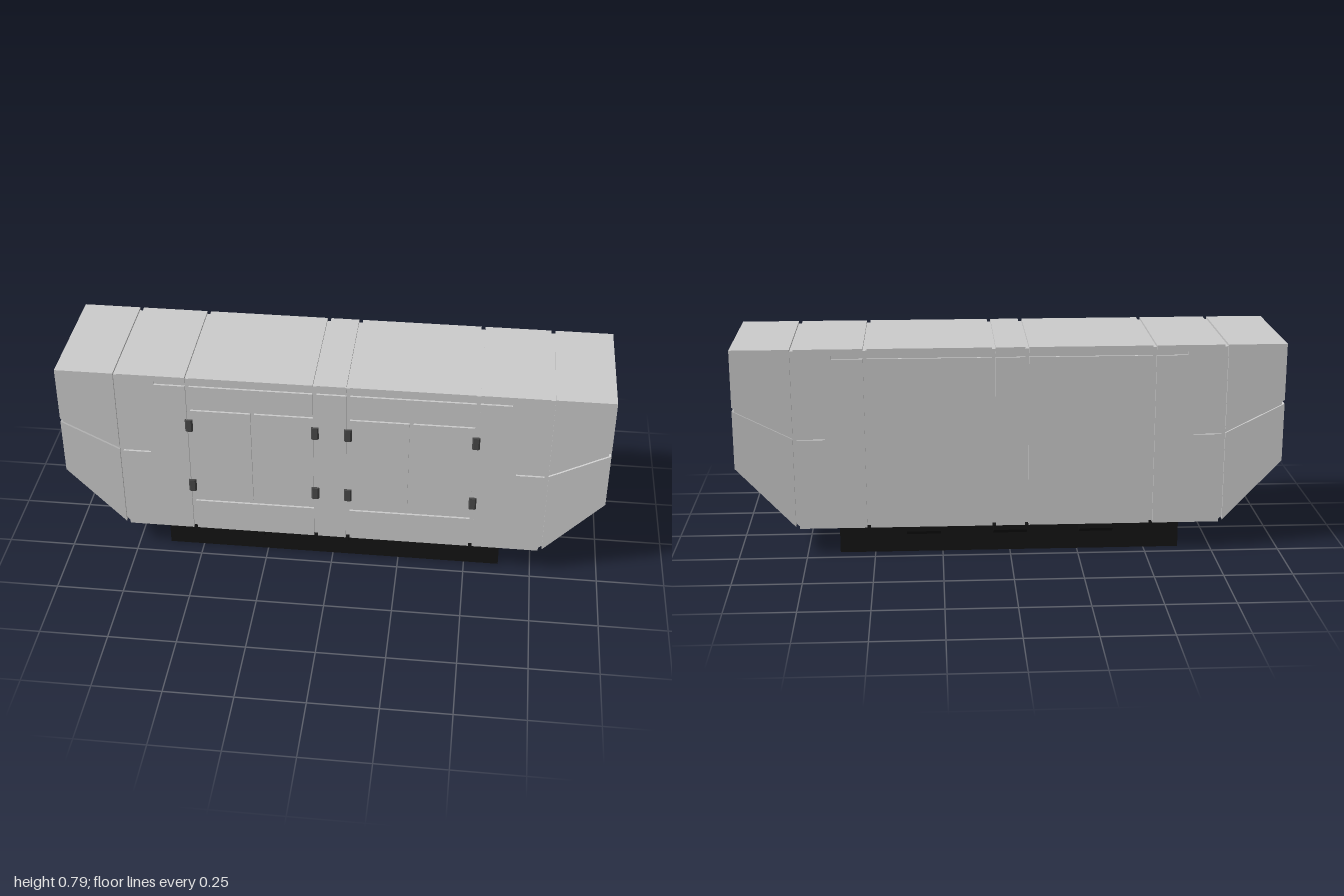
import * as THREE from 'three';

const FRONT = 0.23, BACK = -0.24, TOP = 0.785, BOTTOM = 0.11;
const G = 0.007; // half groove width
const D = 0.008; // groove depth

const grey = new THREE.MeshStandardMaterial({ color: 0xcccccc });
const black = new THREE.MeshStandardMaterial({ color: 0x141414 });
const dark = new THREE.MeshStandardMaterial({ color: 0x484848 });

const shapeOf = (pts) => new THREE.Shape(pts.map(([x, y]) => new THREE.Vector2(x, y)));

function prism(name, pts, z0, z1, material = grey) {
  const geo = new THREE.ExtrudeGeometry(shapeOf(pts), { depth: z1 - z0, bevelEnabled: false });
  geo.translate(0, 0, z0);
  const mesh = new THREE.Mesh(geo, material);
  mesh.name = name;
  return mesh;
}

const rect = (x0, x1, y0, y1) => [[x0, y0], [x1, y0], [x1, y1], [x0, y1]];
const mirrorX = (pts, s) => pts.map(([x, y]) => [x * s, y]);

export function createModel() {
  const model = new THREE.Group();
  model.name = 'enclosure';

  // Core: shows as the floor of every groove between the panels
  const core = [[0.992, TOP - D], [0.992, 0.349], [0.776, BOTTOM + D]];
  model.add(prism('core', [...core, ...mirrorX(core, -1).reverse()], BACK + D, FRONT - D));

  const seam = 0.456, strip = 0.755;
  const doorTop = 0.652, doorBottom = 0.245, doorMid = 0.2875;
  const halves = [['front', 0, FRONT], ['back', BACK, 0]];

  for (const s of [1, -1]) {
    // End caps, split by the sloping groove
    model.add(prism('upperEnd', mirrorX(
      [[0.78 + G, seam + G + 0.004], [1, 0.575], [1, TOP], [0.78 + G, TOP]], s), BACK, FRONT));
    model.add(prism('lowerEnd', mirrorX(
      [[0.78 + G, 0.1175], [1, 0.345], [1, 0.561], [0.78 + G, seam - G + 0.004]], s), BACK, FRONT));

    for (const [side, z0, z1] of halves) {
      // Corner panels with the two groove stubs
      const a = 0.52 + G, b = 0.78 - G;
      model.add(prism(side + 'CornerPanel', mirrorX([
        [a, BOTTOM], [b, BOTTOM],
        [b, seam - G], [0.67, seam - G], [0.67, seam + G], [b, seam + G],
        [b, TOP], [a, TOP],
        [a, strip + G], [0.64, strip + G], [0.64, strip - G], [a, strip - G],
      ], s), z0, z1));

      // Door bays: the front is divided into door panels, the back is plain
      const c = 0.06 + G, d = 0.52 - G;
      const bay = [rect(c, d, strip + G, TOP)];
      if (side === 'front') {
        bay.push(
          rect(c, d, doorTop + G, strip - G),
          rect(c, doorMid - G, doorBottom + G, doorTop - G),
          rect(doorMid + G, d, doorBottom + G, doorTop - G),
          rect(c, d, BOTTOM, doorBottom - G));
      } else {
        bay.push(rect(c, d, BOTTOM, strip - G));
      }
      for (const pts of bay) model.add(prism(side + 'DoorPanel', mirrorX(pts, s), z0, z1));
    }
  }

  // Narrow centre panels
  for (const [side, z0, z1] of halves) {
    model.add(prism(side + 'CentreUpper', rect(-0.06 + G, 0.06 - G, strip + G, TOP), z0, z1));
    model.add(prism(side + 'CentreLower', rect(-0.06 + G, 0.06 - G, BOTTOM, strip - G), z0, z1));
  }

  // Hinges on the front door edges, tapering outward
  const hingeShape = shapeOf([[-0.014, 0], [0.014, 0], [0.014, 0.005], [0.009, 0.01], [-0.009, 0.01], [-0.014, 0.005]]);
  const hingeGeo = new THREE.ExtrudeGeometry(hingeShape, { depth: 0.048, bevelEnabled: false });
  hingeGeo.translate(0, 0, -0.024);
  hingeGeo.rotateX(Math.PI / 2);
  hingeGeo.rotateY(Math.PI);
  // the taper now points along -y before the final turn, so set it facing the front
  hingeGeo.computeBoundingBox();
  if (hingeGeo.boundingBox.max.z < 0.005) hingeGeo.rotateY(Math.PI);
  for (const x of [-0.52, -0.06, 0.06, 0.52]) {
    for (const y of [0.314, 0.583]) {
      const hinge = new THREE.Mesh(hingeGeo, dark);
      hinge.name = 'hinge';
      hinge.position.set(x, y, FRONT);
      model.add(hinge);
    }
  }

  // Base: thin open frame under the body
  const base = new THREE.Group();
  base.name = 'base';
  const X = 0.63, Z = 0.195, T = 0.01;
  const frameShape = shapeOf(rect(-X, X, -Z, Z));
  frameShape.holes.push(shapeOf(rect(-X + T, X - T, -Z + T, Z - T)));
  const frameGeo = new THREE.ExtrudeGeometry(frameShape, { depth: BOTTOM, bevelEnabled: false });
  frameGeo.rotateX(-Math.PI / 2);
  const frame = new THREE.Mesh(frameGeo, black);
  frame.name = 'baseFrame';
  base.add(frame);

  // Brackets straddling the frame walls
  function bracket(x, z, turn, width, reach) {
    const mesh = prism('baseBracket', [
      [reach, BOTTOM], [reach, 0.09], [0, 0.067], [-T, 0.067], [-T - 0.035, 0.09], [-T - 0.035, BOTTOM],
    ], -width / 2, width / 2, black);
    mesh.position.set(x, 0, z);
    mesh.rotation.y = turn;
    base.add(mesh);
  }
  for (const x of [-0.32, 0, 0.32]) {
    bracket(x, Z, -Math.PI / 2, 0.125, 0.035);
    bracket(x, -Z, Math.PI / 2, 0.125, 0.035);
  }
  bracket(X, 0, 0, 0.117, 0.055);
  bracket(-X, 0, Math.PI, 0.117, 0.055);
  base.position.z = -0.005;
  model.add(base);

  return model;
}
